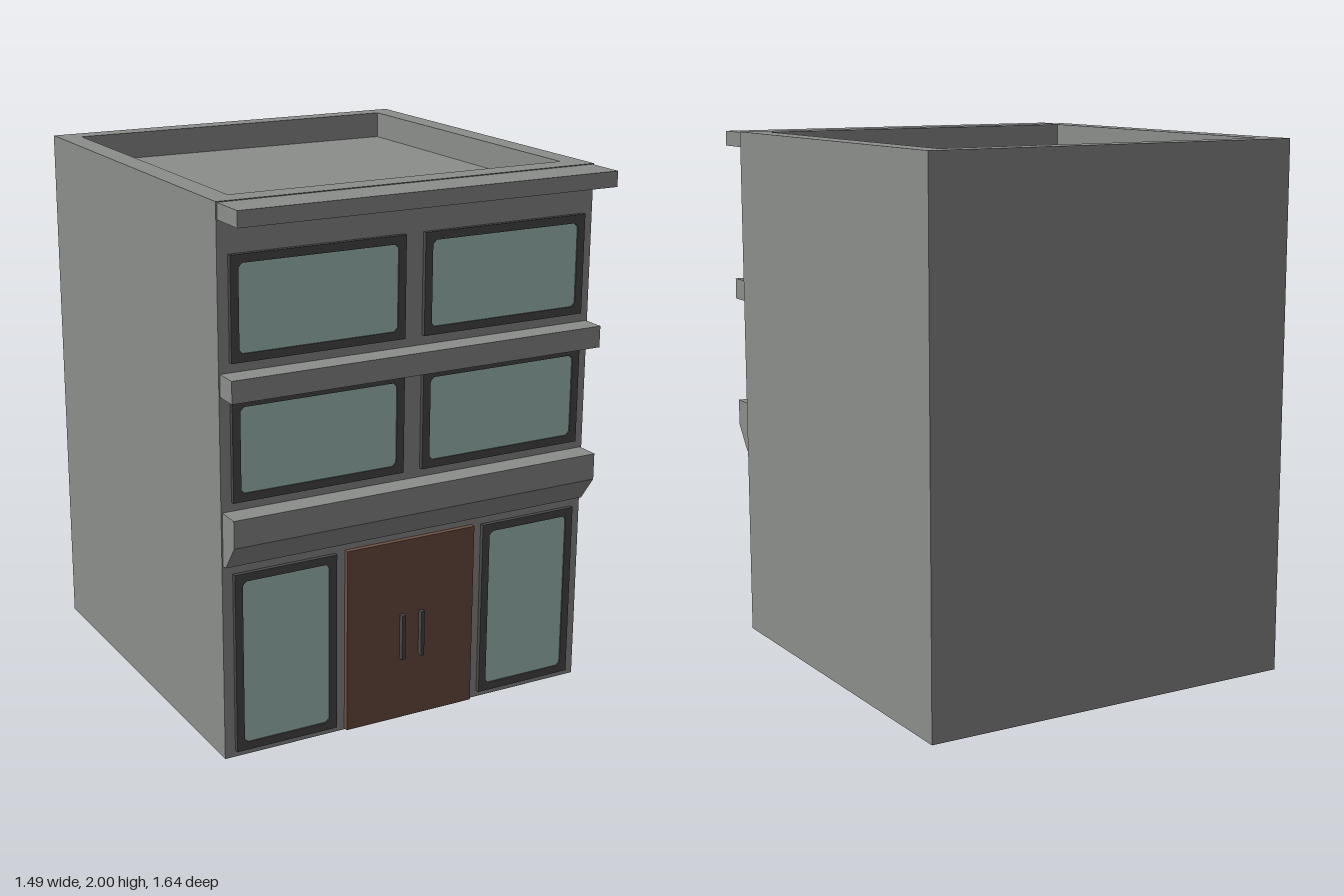
import * as THREE from 'three';

const mat = (name, color, extra = {}) => {
  const m = new THREE.MeshStandardMaterial({ color, ...extra });
  m.name = name;
  return m;
};

export function createModel() {
  const model = new THREE.Group();
  model.name = 'building';
  const concrete = mat('concrete', 0x8c8e8c);
  const frameGrey = mat('frameGrey', 0x4a4a4a);
  const glass = mat('glass', 0xa6c6c0);
  const wood = mat('wood', 0x6f5044);
  const FRONT = 0.67;

  const add = (name, geometry, material, parent = model) => {
    const mesh = new THREE.Mesh(geometry, material);
    mesh.name = name;
    parent.add(mesh);
    return mesh;
  };
  // Box given by its limits on each axis
  const block = (name, [x0, x1], [y0, y1], [z0, z1], material) => {
    const g = new THREE.BoxGeometry(x1 - x0, y1 - y0, z1 - z0);
    g.translate((x0 + x1) / 2, (y0 + y1) / 2, (z0 + z1) / 2);
    return add(name, g, material);
  };
  // Rectangle with corners cut by c
  const outline = (x0, x1, y0, y1, c = 0) => {
    const p = c
      ? [[x0 + c, y0], [x1 - c, y0], [x1, y0 + c], [x1, y1 - c], [x1 - c, y1], [x0 + c, y1], [x0, y1 - c], [x0, y0 + c]]
      : [[x0, y0], [x1, y0], [x1, y1], [x0, y1]];
    return p.map(([x, y]) => new THREE.Vector2(x, y));
  };

  // Main block and the parapet around the sunken roof
  block('body', [-0.745, 0.745], [0, 1.9], [-0.82, FRONT], concrete);
  const rim = new THREE.Shape(outline(-0.745, 0.745, -FRONT, 0.82));
  rim.holes.push(new THREE.Path(outline(-0.66, 0.66, -0.58, 0.74)));
  const parapet = new THREE.ExtrudeGeometry(rim, { depth: 0.1, bevelEnabled: false });
  parapet.rotateX(-Math.PI / 2).translate(0, 1.9, 0);
  add('parapet', parapet, concrete);

  // Ledges across the front
  block('cornice', [-0.74, 0.74], [1.94, 1.997], [FRONT, 0.82], concrete);
  block('middleLedge', [-0.74, 0.74], [1.34, 1.42], [FRONT, 0.76], concrete);

  // Canopy with a sloping underside; profile drawn in (-z, y)
  const profile = new THREE.Shape(
    [[-FRONT, 0.735], [-FRONT, 0.93], [-0.76, 0.93], [-0.76, 0.83], [-0.69, 0.735]]
      .map(([x, y]) => new THREE.Vector2(x, y)));
  const canopy = new THREE.ExtrudeGeometry(profile, { depth: 1.48, bevelEnabled: false });
  canopy.rotateY(Math.PI / 2).translate(-0.74, 0, 0);
  add('canopy', canopy, concrete);

  // Framed windows, mirrored left and right
  const addWindow = (name, x0, x1, y0, y1) => {
    const group = new THREE.Group();
    group.name = name;
    model.add(group);
    const t = 0.03;
    const shape = new THREE.Shape(outline(x0, x1, y0, y1));
    shape.holes.push(new THREE.Path(outline(x0 + t, x1 - t, y0 + t, y1 - t, 0.014)));
    const frame = new THREE.ExtrudeGeometry(shape, { depth: 0.017, bevelEnabled: false });
    frame.translate(0, 0, FRONT);
    add('windowFrame', frame, frameGrey, group);
    const pane = new THREE.ShapeGeometry(new THREE.Shape(outline(x0 + t, x1 - t, y0 + t, y1 - t, 0.014)));
    pane.translate(0, 0, FRONT + 0.012);
    add('windowPane', pane, glass, group);
  };
  const rows = [
    ['shopWindow', 0.305, 0.705, 0.025, 0.7],
    ['firstFloorWindow', 0.038, 0.705, 0.963, 1.33],
    ['secondFloorWindow', 0.038, 0.705, 1.455, 1.823],
  ];
  for (const [name, a, b, y0, y1] of rows) {
    addWindow(name + 'Left', a, b, y0, y1);
    addWindow(name + 'Right', -b, -a, y0, y1);
  }

  // Entrance door and its two handles
  block('door', [-0.265, 0.265], [0.005, 0.705], [FRONT, 0.69], wood);
  for (const s of [-1, 1]) {
    const x = s * 0.04;
    block('doorHandle', [x - 0.007, x + 0.007], [0.245, 0.42], [0.69, 0.71], frameGrey);
  }
  return model;
}
